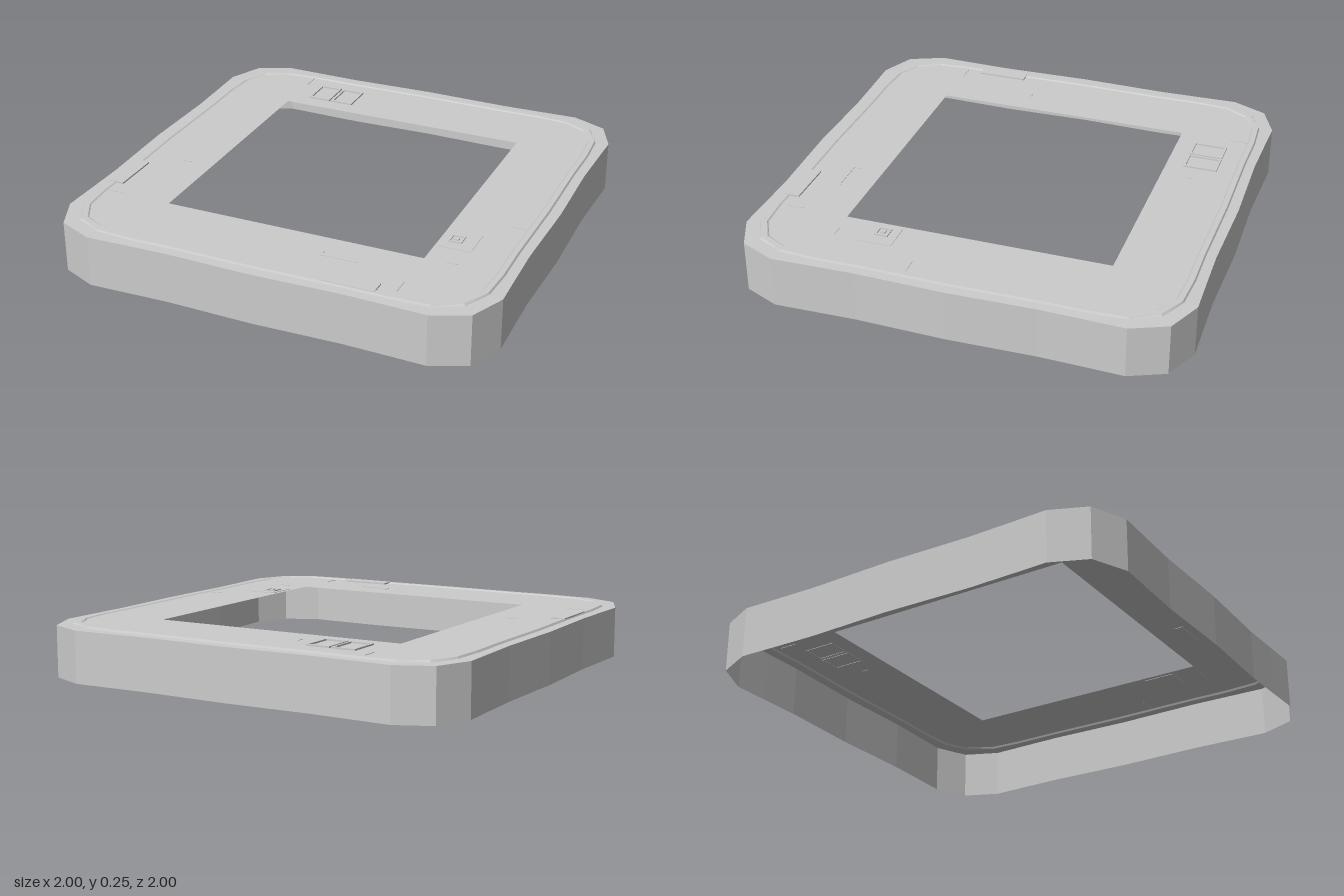
import * as THREE from 'three';

const material = new THREE.MeshStandardMaterial({ color: 0xcccccc, flatShading: true, side: THREE.DoubleSide });

// Rounded-square ring: r = half width, c = shoulder [across, along], d = corner, dip = side waviness
function ring(y, r, c, d, dip = 0) {
  const quarter = [[r, 0], [r - dip, 0.4], [r - dip / 2, 0.6], c, [d, d], [c[1], c[0]], [0.6, r - dip / 2], [0.4, r - dip]];
  const points = [];
  for (let q = 0; q < 4; q++) {
    const cos = Math.round(Math.cos(q * Math.PI / 2)), sin = Math.round(Math.sin(q * Math.PI / 2));
    for (const [x, z] of quarter) points.push(new THREE.Vector3(x * cos - z * sin, y, x * sin + z * cos));
  }
  return points;
}

// Surface joining successive rings
function loft(name, ...rings) {
  const pos = [];
  for (let k = 0; k < rings.length - 1; k++) {
    const lower = rings[k], upper = rings[k + 1], n = lower.length;
    for (let i = 0; i < n; i++) {
      const j = (i + 1) % n;
      for (const [a, b, c] of [[lower[i], upper[i], lower[j]], [lower[j], upper[i], upper[j]]]) {
        const area = b.clone().sub(a).cross(c.clone().sub(a)).length();
        if (area > 1e-9) pos.push(...a.toArray(), ...b.toArray(), ...c.toArray());
      }
    }
  }
  const geometry = new THREE.BufferGeometry();
  geometry.setAttribute('position', new THREE.Float32BufferAttribute(pos, 3));
  geometry.computeVertexNormals();
  const mesh = new THREE.Mesh(geometry, material);
  mesh.name = name;
  return mesh;
}

export function createModel() {
  const model = new THREE.Group();
  model.name = 'squareFrame';
  const deckY = 0.238;

  // Open-bottomed skirt, outer rim, raised bead and flat deck with a square hole
  const foot = ring(0, 1, [1, 0.77], 0.93, 0.01);
  const shoulder = ring(0.233, 1, [1, 0.77], 0.93, 0.01);
  const beadOut = ring(0.234, 0.953, [0.94, 0.76], 0.88, 0.006);
  const beadTopOut = ring(0.243, 0.948, [0.935, 0.76], 0.875, 0.006);
  const beadTopIn = ring(0.243, 0.924, [0.91, 0.75], 0.855, 0.006);
  const beadIn = ring(deckY, 0.918, [0.905, 0.75], 0.85, 0.006);
  const hole = beadIn.map(p => new THREE.Vector3(
    THREE.MathUtils.clamp(p.x, -0.6, 0.6), deckY, THREE.MathUtils.clamp(p.z, -0.6, 0.6)));
  model.add(
    loft('skirt', foot, shoulder),
    loft('rim', shoulder, beadOut),
    loft('bead', beadOut, beadTopOut, beadTopIn, beadIn),
    loft('deck', beadIn, hole));

  // Low block given by its plan bounds, standing on the deck
  const block = (name, x0, x1, z0, z1, top) => {
    const mesh = new THREE.Mesh(new THREE.BoxGeometry(x1 - x0, top - deckY + 0.002, z1 - z0), material);
    mesh.position.set((x0 + x1) / 2, (top + deckY - 0.002) / 2, (z0 + z1) / 2);
    mesh.name = name;
    model.add(mesh);
  };
  // Thin raised rectangular outline
  const outline = (name, x0, x1, z0, z1, t) => {
    block(name, x0, x1, z0, z0 + t, 0.245);
    block(name, x0, x1, z1 - t, z1, 0.245);
    block(name, x0, x0 + t, z0 + t, z1 - t, 0.245);
    block(name, x1 - t, x1, z0 + t, z1 - t, 0.245);
  };

  // Pair of hatch outlines at the back
  outline('hatchFrame', -0.52, -0.41, -0.835, -0.68, 0.01);
  outline('hatchFrame', -0.4, -0.29, -0.835, -0.68, 0.01);

  // Pads bridging the bead, and a small panel beside the hole
  block('frontPad', 0.29, 0.52, 0.87, 0.94, 0.245);
  block('sidePad', -0.945, -0.88, 0.29, 0.52, 0.245);
  block('panel', 0.62, 0.76, 0.33, 0.48, 0.24);
  outline('panelSocket', 0.64, 0.7, 0.37, 0.43, 0.008);
  block('panelStud', 0.66, 0.68, 0.39, 0.41, 0.245);

  // Short seams between deck plates: [x, z, length along x, length along z]
  const seams = [
    [-0.6, -0.87, 0.006, 0.09], [-0.2, -0.735, 0.006, 0.03], [0.2, 0.73, 0.006, 0.04],
    [0.595, 0.85, 0.006, 0.08], [0.28, 0.745, 0.16, 0.005], [-0.73, 0.2, 0.04, 0.005],
    [0.88, 0.2, 0.08, 0.005], [-0.87, 0.595, 0.09, 0.005], [0.72, 0.595, 0.05, 0.005]];
  for (const [x, z, w, d] of seams) block('plateSeam', x - w / 2, x + w / 2, z - d / 2, z + d / 2, 0.24);

  return model;
}
